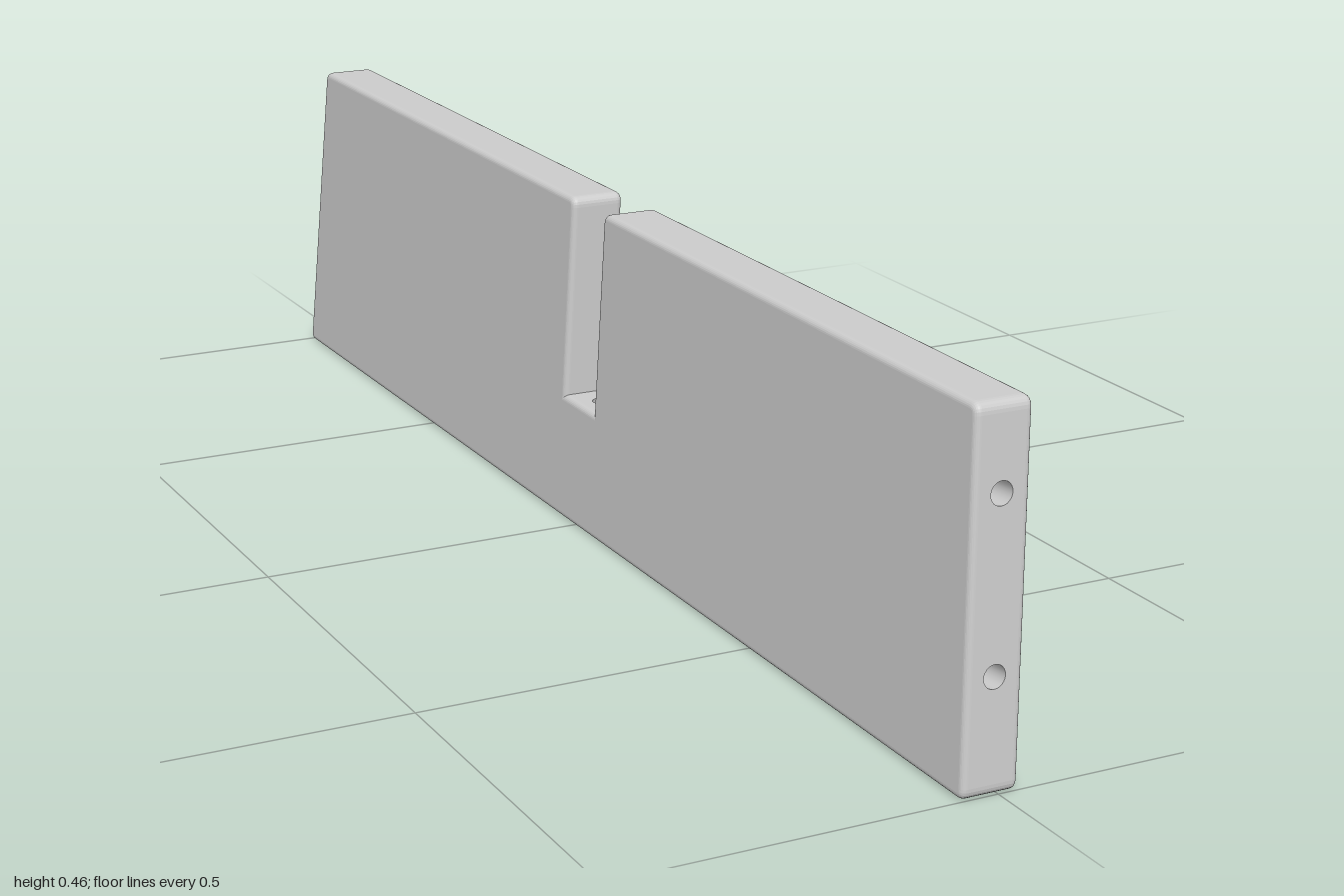
import * as THREE from 'three';
import { mergeGeometries } from 'three/addons/utils/BufferGeometryUtils.js';

const H = 0.455, T = 0.075, B = 0.008; // height, thickness, edge rounding
const LEAN = 0.055;                    // sideways lean per unit of height
const HOLE = 0.0145, END_DEPTH = 0.05, SLOT = 0.045, SLOT_Y = 0.175;

// Side outline as [z, y, corner length], counter-clockwise
const CORNERS = [
  [-1.002, 0, 0.014], [1.002, 0, 0.014], [0.965, H, 0.014], [SLOT, H, 0.014],
  [SLOT, SLOT_Y, 0], [-SLOT, SLOT_Y, 0], [-SLOT, H, 0.014], [-0.965, H, 0.014],
];

function roundedOutline() {
  const pts = CORNERS.map(([x, y]) => new THREE.Vector2(x, y));
  return pts.flatMap((p, i) => {
    const r = CORNERS[i][2];
    if (!r) return [p];
    const toward = (q) => p.clone().add(q.clone().sub(p).setLength(r));
    const prev = pts[(i + pts.length - 1) % pts.length];
    const next = pts[(i + 1) % pts.length];
    return new THREE.QuadraticBezierCurve(toward(prev), p, toward(next)).getPoints(6);
  });
}

// Turn the drawing plane to face sideways, then lean it
function place(geo) {
  geo.rotateY(-Math.PI / 2);
  const lean = new THREE.Matrix4().set(1, LEAN, 0, -LEAN * H / 2, 0, 1, 0, 0, 0, 0, 1, 0, 0, 0, 0, 1);
  return geo.applyMatrix4(lean);
}

// Broad faces and rounded rims: an extrusion without its middle walls
function facesAndRims(outline) {
  const geo = new THREE.ExtrudeGeometry(new THREE.Shape(outline), {
    depth: T - 2 * B, bevelEnabled: true, bevelThickness: B, bevelSize: B,
    bevelOffset: -B, bevelSegments: 6,
  }).translate(0, 0, -T / 2 + B);
  const p = geo.attributes.position, kept = [];
  for (let i = 0; i < p.count; i += 3) {
    const tri = [i, i + 1, i + 2];
    if (tri.some((k) => Math.abs(p.getZ(k)) > T / 2 - B + 1e-5)) {
      tri.forEach((k) => kept.push(p.getX(k), p.getY(k), p.getZ(k)));
    }
  }
  return new THREE.BufferGeometry().setAttribute('position', new THREE.Float32BufferAttribute(kept, 3));
}

export function createModel() {
  const group = new THREE.Group();
  const grey = new THREE.MeshStandardMaterial({ color: 0xcccccc });
  const boreGrey = new THREE.MeshStandardMaterial({ color: 0xcccccc, side: THREE.DoubleSide });
  const add = (name, geo, mat) => {
    const mesh = new THREE.Mesh(place(geo), mat);
    mesh.name = name;
    group.add(mesh);
  };

  const outline = roundedOutline();
  const parts = [facesAndRims(outline)];

  // Edge walls, pierced where there are screw holes
  outline.forEach((p, i) => {
    const q = outline[(i + 1) % outline.length];
    const d = q.clone().sub(p), len = d.length(), w = T / 2 - B;
    d.normalize();
    const isEnd = Math.abs(p.x) > 0.9 && len > 0.3 && Math.abs(d.y) > 0.9;
    const isMiddle = Math.abs(p.x + q.x) < 1e-4;
    const holes = isEnd ? [0.14, 0.35].map((y) => (y - p.y) / d.y) : isMiddle ? [len / 2] : [];

    const shape = new THREE.Shape([[0, -w], [len, -w], [len, w], [0, w]].map((c) => new THREE.Vector2(...c)));
    holes.forEach((s) => shape.holes.push(new THREE.Path().absarc(s, 0, HOLE, 0, Math.PI * 2, true)));
    const frame = new THREE.Matrix4().makeBasis(
      new THREE.Vector3(d.x, d.y, 0), new THREE.Vector3(0, 0, 1), new THREE.Vector3(d.y, -d.x, 0),
    ).setPosition(p.x, p.y, 0);
    const wall = new THREE.ShapeGeometry(shape, 12).applyMatrix4(frame).toNonIndexed();
    wall.deleteAttribute('uv');
    wall.deleteAttribute('normal');
    parts.push(wall);

    // Bores: blind in the ends, straight through below the slot
    if (isMiddle && p.y > 0.01) return;
    const depth = isEnd ? END_DEPTH : SLOT_Y;
    holes.forEach((s) => {
      const bore = new THREE.CylinderGeometry(HOLE, HOLE, depth, 24, 1, true)
        .rotateX(Math.PI / 2).translate(s, 0, -depth / 2).applyMatrix4(frame);
      add(isEnd ? 'endHole' : 'slotHole', bore, boreGrey);
      if (isEnd) {
        add('endHoleFloor', new THREE.CircleGeometry(HOLE, 24).translate(s, 0, -depth).applyMatrix4(frame), grey);
      }
    });
  });

  const board = mergeGeometries(parts);
  add('board', board, grey);
  board.computeVertexNormals();
  return group;
}
